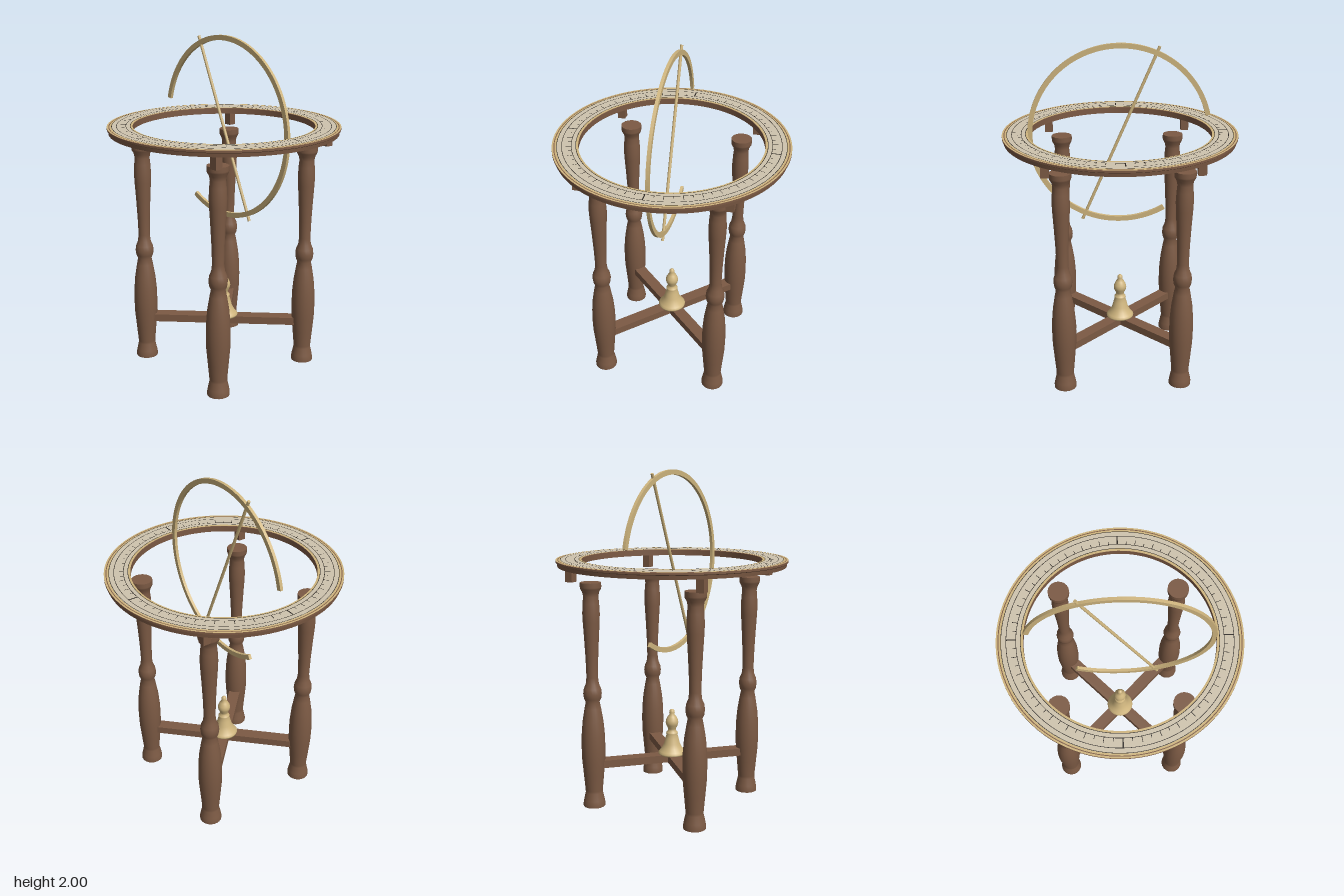
import * as THREE from 'three';

const mat = (name, color, side = THREE.FrontSide) => {
  const m = new THREE.MeshStandardMaterial({ color, side });
  m.name = name;
  return m;
};

export function createModel() {
  const wood = mat('wood', 0x7c5a44);
  const brass = mat('brass', 0xcfb57e);
  const paper = mat('paper', 0xcfc4ae);
  const ink = mat('ink', 0x2c2722);

  const model = new THREE.Group();
  model.name = 'globeStand';
  const add = (name, geometry, material, parent = model) => {
    const mesh = new THREE.Mesh(geometry, material);
    mesh.name = name;
    parent.add(mesh);
    return mesh;
  };
  const lathe = (points, segments) =>
    new THREE.LatheGeometry(points.map(([r, y]) => new THREE.Vector2(r, y)), segments);
  // Flat washer facing up
  const flatRing = (name, inner, outer, y, material) => {
    const g = new THREE.RingGeometry(inner, outer, 96);
    g.rotateX(-Math.PI / 2);
    return add(name, g, material).position.setY(y);
  };

  // Four turned legs with a block above each, under the horizon ring
  const legProfile = [
    [0, 0], [0.066, 0], [0.066, 0.018], [0.062, 0.04], [0.052, 0.085], [0.052, 0.1],
    [0.061, 0.2], [0.069, 0.29], [0.071, 0.37], [0.069, 0.45], [0.062, 0.53], [0.049, 0.61],
    [0.041, 0.648], [0.051, 0.67], [0.055, 0.7], [0.051, 0.73], [0.039, 0.758],
    [0.034, 0.8], [0.037, 0.91], [0.043, 1.03], [0.049, 1.13], [0.051, 1.18],
    [0.048, 1.24], [0.044, 1.28], [0.049, 1.305], [0.06, 1.325], [0.062, 1.335],
    [0.062, 1.362], [0, 1.362],
  ];
  // Doubled end points keep the flat ends crisp
  legProfile.splice(1, 0, [0.0659, 0]);
  legProfile.splice(-1, 0, [0.0619, 1.362]);
  const legGeometry = lathe(legProfile, 20);
  const blockGeometry = new THREE.BoxGeometry(0.047, 0.085, 0.047);
  for (const sx of [-1, 1]) {
    for (const sz of [-1, 1]) {
      add('leg', legGeometry, wood).position.set(sx * 0.345, 0, sz * 0.345);
      add('ringBlock', blockGeometry, wood).position.set(sx * 0.425, 1.411, sz * 0.425);
    }
  }

  // Crossed stretchers between the legs
  for (const s of [-1, 1]) {
    const bar = add('stretcher', new THREE.BoxGeometry(0.95, 0.046, 0.072), wood);
    bar.position.y = 0.263;
    bar.rotation.y = s * Math.PI / 4;
  }

  // Turned finial in the middle of the stretchers
  add('finial', lathe([
    [0, 0.284], [0.083, 0.284], [0.084, 0.294], [0.076, 0.304], [0.06, 0.325], [0.048, 0.352],
    [0.04, 0.385], [0.034, 0.405], [0.036, 0.414], [0.034, 0.422], [0.023, 0.432],
    [0.025, 0.445], [0.036, 0.468], [0.039, 0.483], [0.036, 0.5], [0.025, 0.522],
    [0.015, 0.534], [0.017, 0.546], [0.014, 0.558], [0.008, 0.565], [0, 0.567],
  ], 24), brass);

  // Horizon ring: wooden body built from separate faces for sharp edges
  const body = new THREE.Group();
  body.name = 'horizonRing';
  model.add(body);
  const profile = [
    [0.531, 1.449], [0.671, 1.449], [0.674, 1.47], [0.68, 1.474],
    [0.68, 1.484], [0.531, 1.484], [0.531, 1.449],
  ];
  for (let i = 0; i < profile.length - 1; i++) {
    add('ringFace', lathe([profile[i], profile[i + 1]], 96), wood, body);
  }

  // Brass edges and paper scale on the ring
  flatRing('outerBrassEdge', 0.67, 0.68, 1.487, brass);
  flatRing('innerBrassEdge', 0.531, 0.546, 1.487, brass);
  flatRing('outerBrassBand', 0.654, 0.665, 1.487, brass);
  flatRing('paperScale', 0.546, 0.654, 1.487, paper);
  for (const r of [0.545, 0.57, 0.624, 0.652]) {
    flatRing('scaleCircle', r - 0.0016, r + 0.0016, 1.489, ink);
  }

  // Degree marks, longer every ten degrees and bold at the quarters
  for (let i = 0; i < 72; i++) {
    const bold = i % 18 === 0;
    const length = bold ? 0.054 : i % 2 ? 0.02 : 0.032;
    const g = new THREE.PlaneGeometry(length, bold ? 0.007 : 0.0035);
    g.rotateX(-Math.PI / 2);
    g.translate(0.57 + length / 2, 1.489, 0);
    g.rotateY(i * Math.PI / 36);
    add('degreeMark', g, ink);
  }

  // Open meridian hoop
  const start = THREE.MathUtils.degToRad(-120);
  const end = THREE.MathUtils.degToRad(167.3);
  const hoop = new THREE.Shape();
  hoop.absarc(0, 0, 0.535, start, end, false);
  hoop.absarc(0, 0, 0.506, end, start, true);
  hoop.closePath();
  const hoopGeometry = new THREE.ExtrudeGeometry(hoop, {
    depth: 0.018, bevelEnabled: false, curveSegments: 64,
  });
  hoopGeometry.translate(0, 1.465, -0.009);
  add('meridianHoop', hoopGeometry, brass);

  // Tilted axis rod
  const axis = add('axisRod', new THREE.CylinderGeometry(0.009, 0.009, 1.126, 12), brass);
  axis.position.y = 1.463;
  axis.rotation.z = THREE.MathUtils.degToRad(23.4);

  return model;
}
